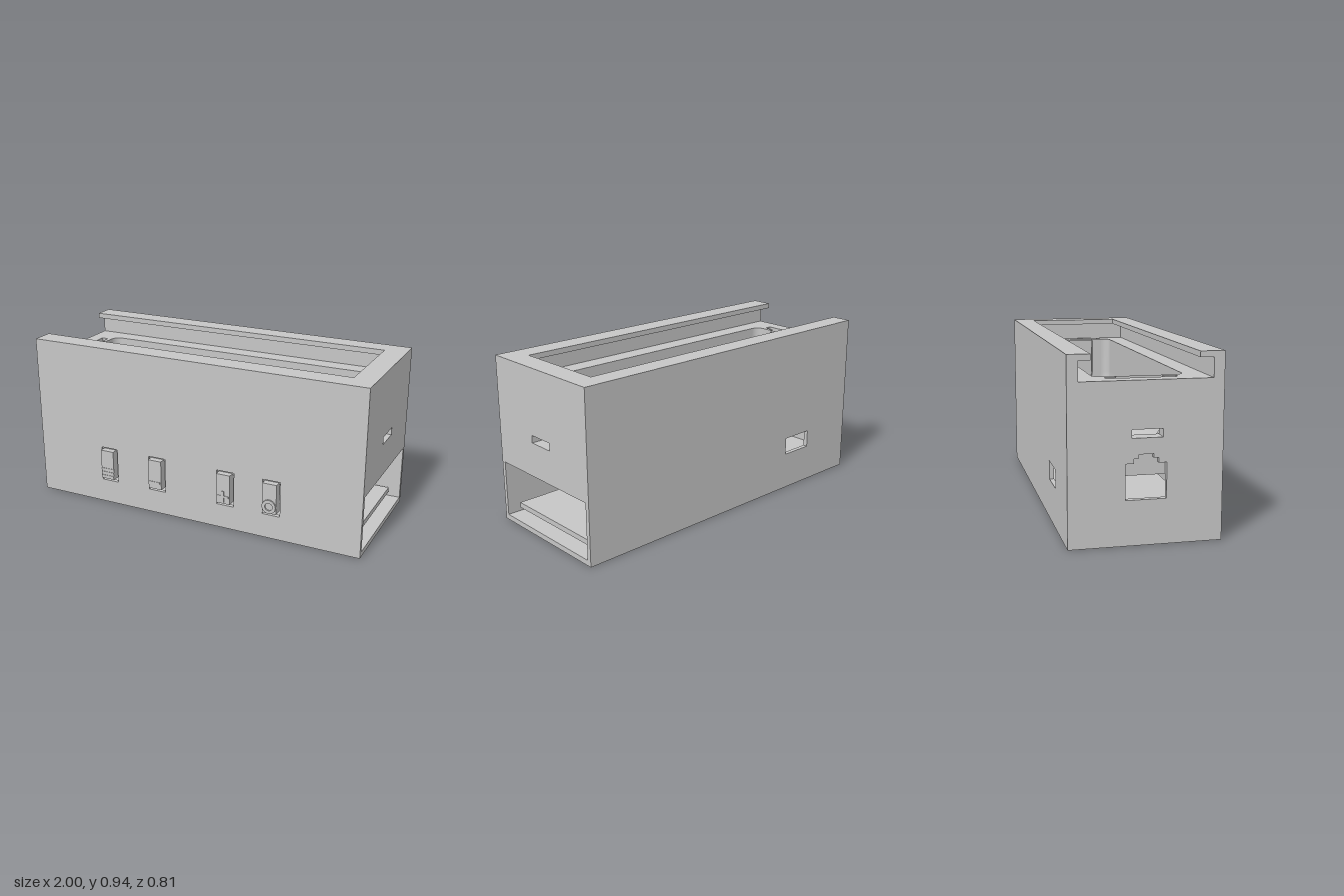
import * as THREE from 'three';

const plastic = new THREE.MeshStandardMaterial({ color: 0xc6c6c6, side: THREE.DoubleSide });
plastic.name = 'grey plastic';

// Main levels and the battery axis
const DECK = 0.815, CEIL = 0.345, TOP = 0.945, LIP = 0.915;
const AX_Y = 0.6, AX_Z = -0.02, R = 0.23, TROUGH = 0.855, FILLET = 0.05;
const IN_F = 0.345, IN_B = -0.38;

const rect = (a0, a1, b0, b1) => [[a0, b0], [a1, b0], [a1, b1], [a0, b1]];
// Plus-shaped outline: overall half sizes w, h and arm half widths a, b
const plus = (x, y, w, h, a, b) => [[-w, -b], [-a, -b], [-a, -h], [a, -h], [a, -b], [w, -b],
  [w, b], [a, b], [a, h], [-a, h], [-a, b], [-w, b]].map(([p, q]) => [x + p, y + q]);

function shapeOf(outline, holes, flip) {
  const v = pts => pts.map(([a, b]) => new THREE.Vector2(flip[0] * a, flip[1] * b));
  const s = new THREE.Shape(v(outline));
  for (const h of holes) s.holes.push(new THREE.Path(v(h)));
  return s;
}
const extrude = (shape, depth) => new THREE.ExtrudeGeometry(shape, { depth, bevelEnabled: false });

// Plates extruded along each axis: outlines are (x,y), (z,y) and (x,z)
const plateZ = (z0, z1, o, holes = []) => extrude(shapeOf(o, holes, [1, 1]), z1 - z0).translate(0, 0, z0);
const plateX = (x0, x1, o, holes = []) =>
  extrude(shapeOf(o, holes, [-1, 1]), x1 - x0).rotateY(Math.PI / 2).translate(x0, 0, 0);
const plateY = (y0, y1, o, holes = []) =>
  extrude(shapeOf(o, holes, [1, -1]), y1 - y0).rotateX(-Math.PI / 2).translate(0, y0, 0);
const box = (x0, x1, y0, y1, z0, z1) => new THREE.BoxGeometry(x1 - x0, y1 - y0, z1 - z0)
  .translate((x0 + x1) / 2, (y0 + y1) / 2, (z0 + z1) / 2);

// Round-bottomed battery trough, lofted from U sections that shrink at the ends
function troughGeometry() {
  const stations = [];
  for (let i = 0; i <= 8; i++) {
    const t = (i / 8) * Math.PI / 2;
    stations.push([-TROUGH + FILLET * (1 - Math.cos(t)), R - FILLET * (1 - Math.sin(t))]);
  }
  stations.push(...stations.map(([x, r]) => [-x, r]).reverse());
  const pos = [], idx = [], N = 40, W = N + 3;
  for (const [x, r] of stations) {
    pos.push(x, DECK, AX_Z - r);
    for (let k = 0; k <= N; k++) {
      const a = Math.PI * k / N;
      pos.push(x, AX_Y - r * Math.sin(a), AX_Z - r * Math.cos(a));
    }
    pos.push(x, DECK, AX_Z + r);
  }
  for (let i = 0; i < stations.length - 1; i++) for (let k = 0; k < W - 1; k++) {
    const a = i * W + k, b = a + W;
    idx.push(a, a + 1, b, b, a + 1, b + 1);
  }
  const g = new THREE.BufferGeometry();
  g.setAttribute('position', new THREE.Float32BufferAttribute(pos, 3));
  g.setIndex(idx);
  g.computeVertexNormals();
  return g;
}

// Rounded rectangle of the trough mouth in (x,z)
function mouth() {
  const pts = [];
  const cx = TROUGH - FILLET, cz = R - FILLET;
  [[1, 1], [-1, 1], [-1, -1], [1, -1]].forEach(([sx, sz], q) => {
    for (let i = 0; i <= 8; i++) {
      const a = (q + i / 8) * Math.PI / 2;
      pts.push([sx * cx + FILLET * Math.cos(a), AX_Z + sz * cz + FILLET * Math.sin(a)]);
    }
  });
  return pts;
}

// Thin curved marking lying on the trough floor
function floorPatch(x0, x1, z0, z1) {
  const r = R - 0.005, pos = [], idx = [], N = 10;
  const a0 = Math.asin((z0 - AX_Z) / r), a1 = Math.asin((z1 - AX_Z) / r);
  for (let k = 0; k <= N; k++) {
    const a = a0 + (a1 - a0) * k / N;
    for (const x of [x0, x1]) pos.push(x, AX_Y - r * Math.cos(a), AX_Z + r * Math.sin(a));
    if (k < N) idx.push(2 * k, 2 * k + 2, 2 * k + 1, 2 * k + 1, 2 * k + 2, 2 * k + 3);
  }
  const g = new THREE.BufferGeometry();
  g.setAttribute('position', new THREE.Float32BufferAttribute(pos, 3));
  g.setIndex(idx);
  g.computeVertexNormals();
  return g;
}

export function createModel() {
  const model = new THREE.Group();
  model.name = 'batteryEnclosure';
  const add = (name, geometry) => {
    const m = new THREE.Mesh(geometry, plastic);
    m.name = name;
    model.add(m);
  };

  // Outer walls and floor
  const buttons = [-0.53, -0.215, 0.215, 0.49];
  add('frontWall', plateZ(IN_F, 0.37, rect(-1, 1, 0, TOP),
    buttons.map(c => rect(c - 0.0525, c + 0.0525, 0.14, 0.345))));
  add('backWall', plateZ(-0.405, IN_B, rect(-1, 1, 0, TOP), [rect(-0.655, -0.46, 0.215, 0.315)]));
  add('floor', plateY(0, 0.03, rect(-1, 1, IN_B, IN_F),
    [[0.81, -0.275], [0.56, -0.275], [0.68, 0.056]].map(([x, z]) => plus(x, z, 0.055, 0.035, 0.025, 0.018))));

  // Left end wall with stepped socket opening and wire slot
  const wire = rect(-0.09, 0.065, 0.535, 0.577);
  const socket = [[-0.12, 0.23], [0.085, 0.23], [0.085, 0.41], [0.045, 0.41], [0.045, 0.435], [0.02, 0.435],
    [0.02, 0.455], [-0.055, 0.455], [-0.055, 0.435], [-0.08, 0.435], [-0.08, 0.41], [-0.12, 0.41]];
  add('leftEndWall', plateX(-1, -0.97, rect(IN_B, IN_F, 0.03, DECK), [wire, socket]));

  // End blocks: wire slot, contact slot and terminal opening on each side
  const notched = cut => [[IN_B, CEIL], [IN_F, CEIL], [IN_F, DECK], ...cut, [IN_B, DECK]];
  const arch = [[AX_Z + 0.12, DECK]];
  for (let i = 0; i <= 16; i++) {
    const a = Math.PI * i / 16;
    arch.push([AX_Z + 0.12 * Math.cos(a), AX_Y - 0.12 * Math.sin(a)]);
  }
  arch.push([AX_Z - 0.12, DECK]);
  const pocket = [[AX_Z + 0.18, DECK], [AX_Z + 0.18, 0.42], [AX_Z - 0.18, 0.42], [AX_Z - 0.18, DECK]];
  for (const s of [-1, 1]) {
    const side = s < 0 ? 'left' : 'right';
    const span = (a, b, o, h) => (s < 0 ? plateX(-b, -a, o, h) : plateX(a, b, o, h));
    add(side + 'TerminalWall', span(TROUGH, 0.88, notched(arch)));
    add(side + 'ContactSlot', span(0.88, 0.92, notched(pocket)));
    add(side + 'EndBlock', span(0.92, s < 0 ? 0.97 : 1, rect(IN_B, IN_F, CEIL, DECK), [wire]));
  }

  // Battery compartment
  add('batteryTrough', troughGeometry());
  add('deck', plateY(DECK - 0.01, DECK, rect(-TROUGH, TROUGH, IN_B, IN_F), [mouth()]));
  add('bayCeiling', box(-TROUGH, TROUGH, CEIL, CEIL + 0.015, IN_B, IN_F));
  add('minusMark', floorPatch(-0.665, -0.6, -0.12, 0.07));
  add('batteryMarkBody', floorPatch(-0.35, 0.3, -0.12, 0.07));
  add('batteryMarkTip', floorPatch(0.3, 0.35, -0.07, 0.02));
  add('plusMarkBar', floorPatch(0.505, 0.7, -0.058, 0.01));
  add('plusMarkStem', floorPatch(0.565, 0.635, -0.12, 0.07));

  // Sliding lid channel, open at the left end
  add('frontRail', box(-1, 1, DECK, LIP, 0.315, IN_F));
  add('backRail', box(-1, 1, DECK, LIP, IN_B, -0.35));
  add('lidStop', box(0.94, 1, DECK, LIP, -0.35, 0.315));
  add('lidLip', plateY(LIP, TOP, [[-1, IN_B], [1, IN_B], [1, IN_F], [-1, IN_F],
    [-1, 0.245], [0.875, 0.245], [0.875, -0.29], [-1, -0.29]]));

  // Board in the electronics bay
  add('board', box(-0.97, 0.94, 0.065, 0.095, -0.35, 0.315));
  add('boardSupport', box(-0.97, 0.86, 0.03, 0.065, -0.35, 0.315));

  // Front push buttons with raised symbols
  const face = 0.397, mark = 0.4;
  buttons.forEach((c, i) => {
    add('button', box(c - 0.041, c + 0.041, 0.163, 0.337, 0.345, face));
    add('buttonHinge', box(c - 0.0525, c + 0.0525, 0.33, 0.345, 0.345, 0.36));
    if (i === 0) for (const y of [0.18, 0.202, 0.224]) {
      add('gripLine', box(c - 0.04, c + 0.04, y - 0.005, y + 0.005, face, mark));
    }
    if (i === 1) add('minusSymbol', box(c - 0.033, c + 0.033, 0.197, 0.208, face, mark));
    if (i === 2) add('plusSymbol', plateZ(face, mark, plus(c, 0.205, 0.033, 0.033, 0.006, 0.006)));
    if (i === 3) {
      const ring = new THREE.Shape().absarc(c, 0.205, 0.04, 0, Math.PI * 2);
      ring.holes.push(new THREE.Path().absarc(c, 0.205, 0.022, 0, Math.PI * 2));
      add('ringSymbol', new THREE.ExtrudeGeometry(ring, { depth: 0.008, bevelEnabled: false, curveSegments: 24 })
        .translate(0, 0, face));
    }
  });
  return model;
}
